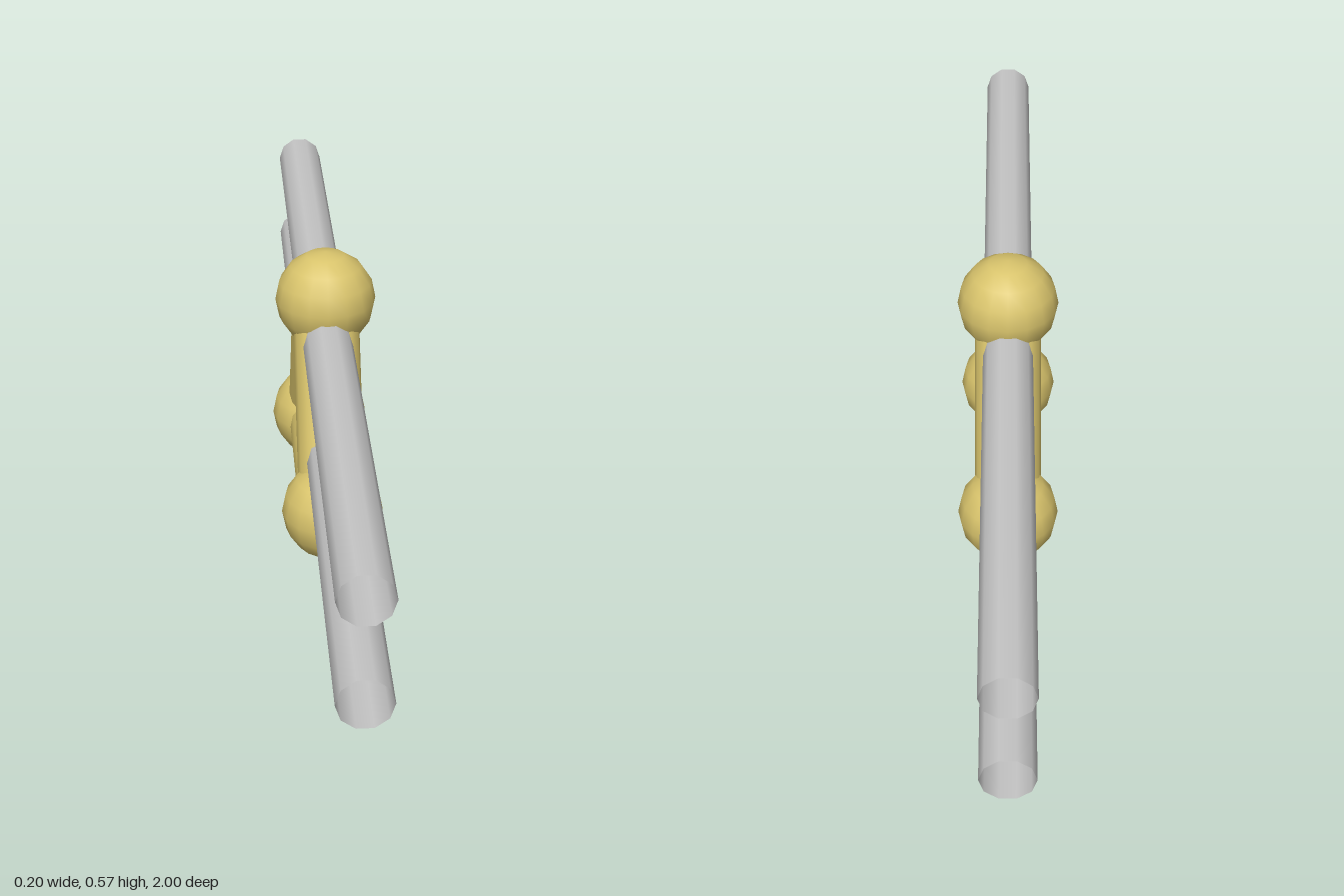
import * as THREE from 'three';

export function createModel() {
  const group = new THREE.Group();
  const gold = new THREE.MeshStandardMaterial({ color: 0xd9c46c });
  gold.name = 'gold';
  const grey = new THREE.MeshStandardMaterial({ color: 0xc6c6c6, side: THREE.DoubleSide });
  grey.name = 'grey';

  // open-ended cylinder between two points
  function rod(name, a, b, radius, sides, thetaStart, material) {
    const geometry = new THREE.CylinderGeometry(
      radius, radius, a.distanceTo(b), sides, 1, true, thetaStart);
    const mesh = new THREE.Mesh(geometry, material);
    mesh.position.copy(a).add(b).multiplyScalar(0.5);
    mesh.quaternion.setFromUnitVectors(
      new THREE.Vector3(0, 1, 0), b.clone().sub(a).normalize());
    mesh.name = name;
    group.add(mesh);
  }

  // triangle frame: a ball at each corner, a strut along each side
  const R = 0.1015;
  const corners = [
    new THREE.Vector3(0, 0.472, 0),
    new THREE.Vector3(0, R, 0.214),
    new THREE.Vector3(0, R, -0.214),
  ];
  const names = ['top', 'front', 'back'];
  corners.forEach((corner, i) => {
    const ball = new THREE.Mesh(new THREE.SphereGeometry(R, 16, 8), gold);
    ball.position.copy(corner);
    ball.name = names[i] + 'Ball';
    group.add(ball);
    rod(names[i] + 'Strut', corner, corners[(i + 1) % 3], 0.067, 16, 0, gold);
  });

  // hollow tubes running out from the sloping struts, front and back
  for (const side of [1, -1]) {
    for (const [level, y, inner] of [['upper', 0.405, 0.05], ['lower', 0.205, 0.155]]) {
      rod(level + (side > 0 ? 'FrontTube' : 'BackTube'),
        new THREE.Vector3(0, y, side * inner), new THREE.Vector3(0, y, side),
        0.05, 10, Math.PI / 2, grey);
    }
  }
  return group;
}
